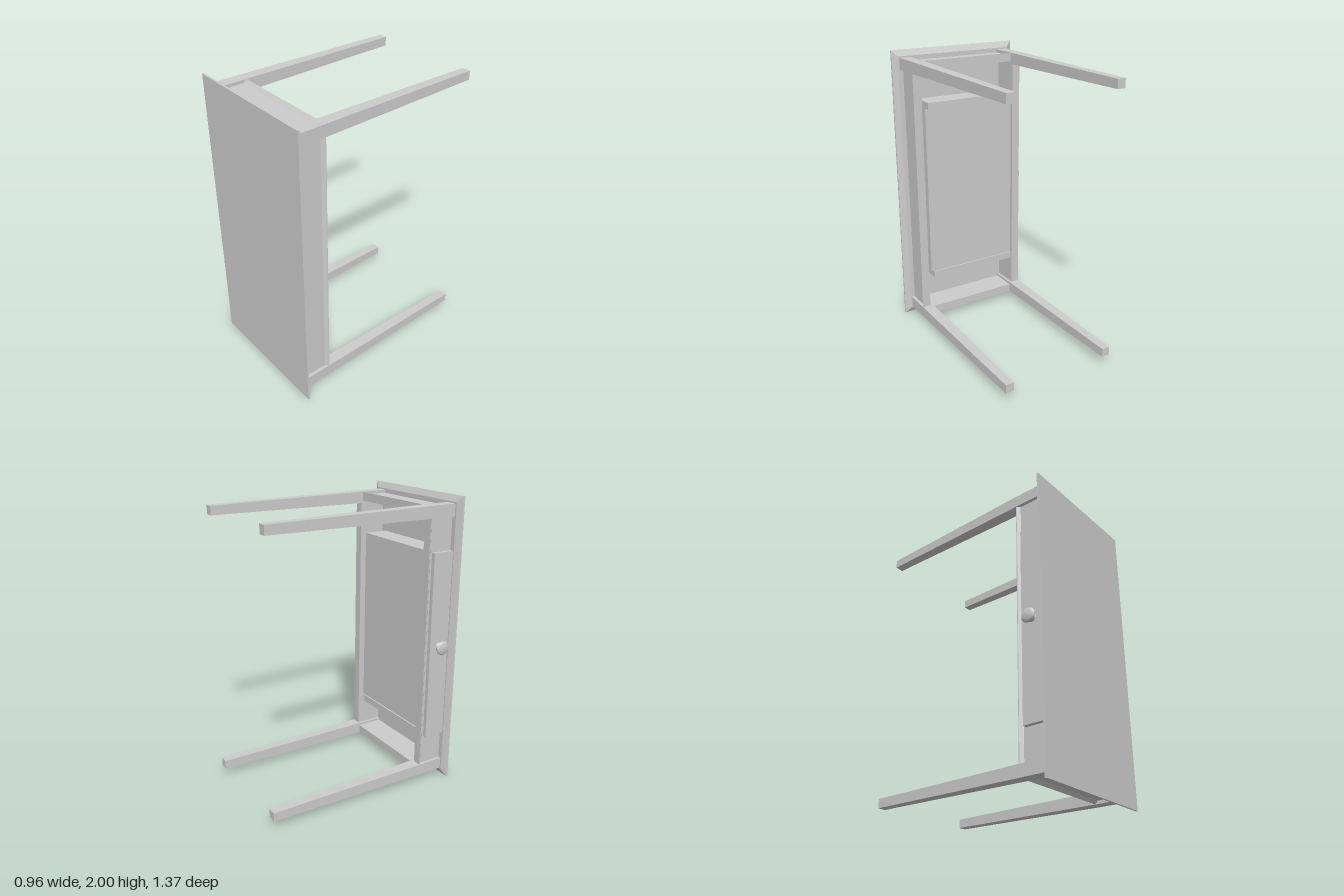
import * as THREE from 'three';

export function createModel() {
  const model = new THREE.Group();
  const table = new THREE.Group();
  table.name = 'table';
  table.position.set(0.004, 1, 0); // table centre; its top faces +z
  model.add(table);

  const flat = new THREE.MeshStandardMaterial({ color: 0xcccccc, flatShading: true });
  const smooth = new THREE.MeshStandardMaterial({ color: 0xcccccc });

  function add(name, geometry, material = flat) {
    const mesh = new THREE.Mesh(geometry, material);
    mesh.name = name;
    table.add(mesh);
    return mesh;
  }

  // box given by its limits
  function block(name, x0, x1, y0, y1, z0, z1) {
    const mesh = add(name, new THREE.BoxGeometry(x1 - x0, y1 - y0, z1 - z0));
    mesh.position.set((x0 + x1) / 2, (y0 + y1) / 2, (z0 + z1) / 2);
  }

  // box along z whose back end is scaled and front end is full size
  function taper(w, h, zBack, zFront, sx, sy) {
    const g = new THREE.BoxGeometry(w, h, zFront - zBack);
    g.translate(0, 0, (zFront + zBack) / 2);
    const p = g.attributes.position;
    const mid = (zFront + zBack) / 2;
    for (let i = 0; i < p.count; i++) {
      if (p.getZ(i) < mid) p.setXY(i, p.getX(i) * sx, p.getY(i) * sy);
    }
    g.computeVertexNormals();
    return g;
  }

  // top with chamfered underside
  block('tableTop', -0.475, 0.475, -1, 1, 0.672, 0.685);
  add('tableTopChamfer', taper(0.95, 2, 0.652, 0.672, 0.435 / 0.475, 0.96));

  // four legs: square head, tapering below the aprons
  for (const sx of [-1, 1]) {
    for (const sy of [-1, 1]) {
      const x = sx * 0.384, y = sy * 0.91;
      block('legHead', x - 0.04, x + 0.04, y - 0.04, y + 0.04, 0.465, 0.654);
      add('leg', taper(0.08, 0.08, -0.685, 0.465, 0.73, 0.75)).position.set(x, y, 0);
    }
  }

  // apron with a flared lip along the lower edge, from the lip up to zTop
  function apron(name, outer, length, angle, zTop = 0.654) {
    const shape = new THREE.Shape([
      [outer - 0.06, 0.462], [outer, 0.462], [outer, 0.467],
      [outer - 0.02, 0.485], [outer - 0.02, zTop], [outer - 0.06, zTop],
    ].map(([x, z]) => new THREE.Vector2(x, z)));
    const g = new THREE.ExtrudeGeometry(shape, { depth: length, bevelEnabled: false });
    g.translate(0, 0, -length / 2);
    g.rotateX(Math.PI / 2);
    g.rotateZ(angle);
    add(name, g);
  }
  apron('sideApron', 0.422, 1.75, 0);
  apron('drawerRail', 0.422, 1.75, Math.PI, 0.5);
  apron('endApron', 0.948, 0.7, Math.PI / 2);
  apron('endApron', 0.948, 0.7, -Math.PI / 2);

  // apron pieces either side of the drawer opening
  block('drawerApron', -0.402, -0.362, 0.645, 0.875, 0.5, 0.654);
  block('drawerApron', -0.402, -0.362, -0.875, -0.645, 0.5, 0.654);

  // drawer
  block('drawerFront', -0.43, -0.38, -0.66, 0.648, 0.5, 0.65);
  block('drawerBottom', -0.362, 0.33, -0.61, 0.61, 0.485, 0.5);
  block('drawerBack', 0.29, 0.31, -0.61, 0.61, 0.5, 0.64);
  block('drawerSide', -0.362, 0.31, 0.61, 0.66, 0.475, 0.64);
  block('drawerSide', -0.362, 0.31, -0.66, -0.61, 0.475, 0.64);

  // turned knob on the drawer front
  const profile = new THREE.SplineCurve([
    [0.03, 0], [0.022, 0.012], [0.024, 0.02], [0.042, 0.027],
    [0.048, 0.037], [0.036, 0.048], [0.0001, 0.054],
  ].map(([r, h]) => new THREE.Vector2(r, h))).getPoints(24);
  const knob = add('drawerKnob', new THREE.LatheGeometry(profile, 24), smooth);
  knob.rotation.z = Math.PI / 2;
  knob.position.set(-0.43, 0.003, 0.577);

  return model;
}
